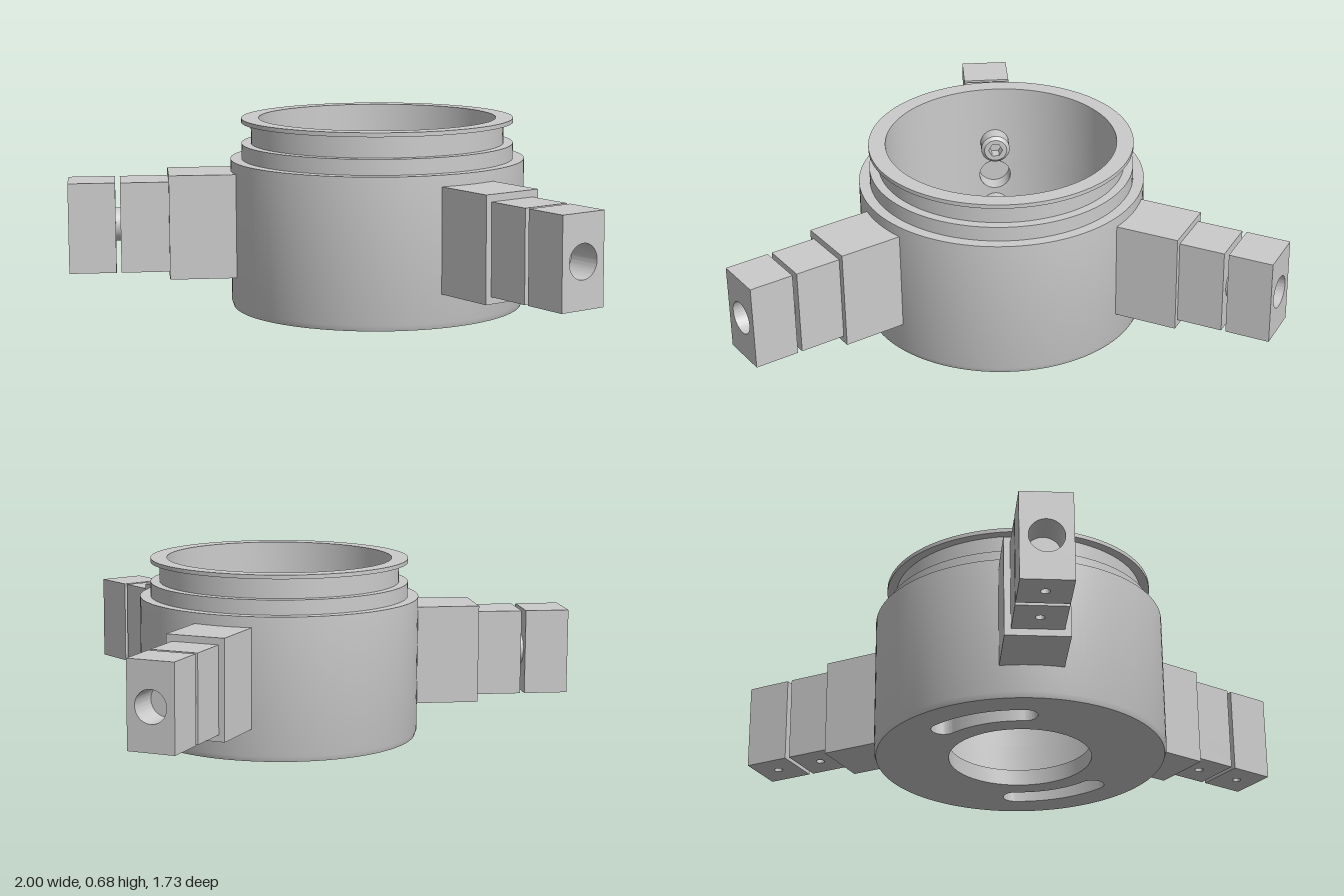
import * as THREE from 'three';
import { toCreasedNormals } from 'three/addons/utils/BufferGeometryUtils.js';

const grey = new THREE.MeshStandardMaterial({ color: 0xcccccc });
const greyOpen = new THREE.MeshStandardMaterial({ color: 0xcccccc, side: THREE.DoubleSide });
const rad = THREE.MathUtils.degToRad;
const ARMS = [60, 180, 300].map(rad);
const BORE = 0.425, AXIS_Y = 0.305, ROD = 0.06;
const BAND = [0.23, 0.38]; // band of the bore wall that holds the radial holes
const HALF = rad(9);

function add(parent, name, geometry, material = grey) {
  const mesh = new THREE.Mesh(geometry, material);
  mesh.name = name;
  parent.add(mesh);
  return mesh;
}

const lathe = (pts, segments, start = 0, length = Math.PI * 2) =>
  toCreasedNormals(new THREE.LatheGeometry(pts.map(p => new THREE.Vector2(...p)), segments, start, length), 0.5);

const extrude = (shape, depth) => toCreasedNormals(
  new THREE.ExtrudeGeometry(shape, { depth, bevelEnabled: false, curveSegments: 32 }), 0.5);

const circle = (r, x = 0, y = 0) => new THREE.Path().absarc(x, y, r, 0, Math.PI * 2, true);

function rect(x0, y0, x1, y1) {
  return new THREE.Shape([[x0, y0], [x1, y0], [x1, y1], [x0, y1]].map(p => new THREE.Vector2(...p)));
}

// curved slot with rounded ends, around the centre
function slot(a0, a1, r = 0.374, h = 0.045) {
  const path = new THREE.Path();
  path.absarc(0, 0, r + h, a0, a1, false);
  path.absarc(r * Math.cos(a1), r * Math.sin(a1), h, a1, a1 + Math.PI, false);
  path.absarc(0, 0, r - h, a1, a0, true);
  path.absarc(r * Math.cos(a0), r * Math.sin(a0), h, a0 + Math.PI, a0 + Math.PI * 2, false);
  return path;
}

// piece of bore wall with a round hole, bent from flat onto the bore
function borePanel() {
  const pts = [], n = 6, w = HALF * BORE;
  for (let i = 0; i <= n; i++) pts.push(new THREE.Vector2(-w + 2 * w * i / n, BAND[0]));
  for (let i = n; i >= 0; i--) pts.push(new THREE.Vector2(-w + 2 * w * i / n, BAND[1]));
  const shape = new THREE.Shape(pts);
  shape.holes.push(circle(ROD, 0, AXIS_Y));
  const geo = new THREE.ShapeGeometry(shape, 32);
  const pos = geo.attributes.position, nor = geo.attributes.normal;
  for (let i = 0; i < pos.count; i++) {
    const a = pos.getX(i) / BORE;
    pos.setXYZ(i, BORE * Math.sin(a), pos.getY(i), BORE * Math.cos(a));
    nor.setXYZ(i, Math.sin(a), 0, Math.cos(a));
  }
  return geo;
}

// clamp block: bored along the arm, with a small screw hole underneath
function clampBlock(parent, name, z0, z1) {
  const block = new THREE.Group();
  block.name = name;
  const upper = rect(-0.09, 0.235, 0.09, 0.465);
  upper.holes.push(circle(ROD, 0, AXIS_Y));
  add(block, name + 'Bored', extrude(upper, z1 - z0).translate(0, 0, z0));
  const lower = rect(-0.09, z0, 0.09, z1);
  lower.holes.push(circle(0.016, 0, (z0 + z1) / 2));
  add(block, name + 'Base', extrude(lower, 0.09).rotateX(Math.PI / 2).translate(0, 0.235, 0));
  parent.add(block);
}

// set screw with a chamfered tip and a hex socket, tip facing the centre
function setScrew(parent, y) {
  const screw = new THREE.Group();
  screw.name = 'setScrew';
  add(screw, 'screwShank', lathe([[0.055, -0.09], [0.055, -0.012], [0.043, 0]], 32).rotateX(-Math.PI / 2));
  const face = new THREE.Shape().absarc(0, 0, 0.043, 0, Math.PI * 2, false);
  const hex = [];
  for (let i = 0; i < 6; i++) {
    hex.push(new THREE.Vector2(0.027 * Math.cos(-i * Math.PI / 3), 0.027 * Math.sin(-i * Math.PI / 3)));
  }
  face.holes.push(new THREE.Path(hex));
  add(screw, 'screwSocket', extrude(face, 0.045));
  add(screw, 'socketFloor', new THREE.CylinderGeometry(0.043, 0.043, 0.01, 32).rotateX(Math.PI / 2).translate(0, 0, 0.05));
  screw.position.set(0, y, 0.356);
  parent.add(screw);
}

function makeArm(angle) {
  const arm = new THREE.Group();
  arm.name = 'arm';
  add(arm, 'armBase', new THREE.BoxGeometry(0.225, 0.37, 0.26).translate(0, AXIS_Y, 0.62));
  clampBlock(arm, 'middleBlock', 0.75, 0.92);
  clampBlock(arm, 'endBlock', 0.937, 1.102);
  add(arm, 'rod', new THREE.CylinderGeometry(0.059, 0.059, 0.23, 32).rotateX(Math.PI / 2).translate(0, AXIS_Y, 0.865));
  // radial hole through the body wall
  add(arm, 'boreWallPanel', borePanel(), greyOpen);
  add(arm, 'radialHole', new THREE.CylinderGeometry(ROD, ROD, 0.066, 32, 1, true).rotateX(Math.PI / 2)
    .translate(0, AXIS_Y, 0.455), greyOpen);
  setScrew(arm, AXIS_Y - 0.14);
  setScrew(arm, AXIS_Y + 0.14);
  arm.rotation.y = angle;
  return arm;
}

export function createModel() {
  const model = new THREE.Group();
  model.name = 'threeArmRing';
  model.position.z = 0.236;

  // stepped outer wall, rim and upper bore
  add(model, 'body', lathe([
    [0.52, 0], [0.527, 0.02], [0.527, 0.53], [0.487, 0.53], [0.487, 0.585], [0.453, 0.585],
    [0.453, 0.66], [0.487, 0.66], [0.487, 0.675], [BORE, 0.675], [BORE, BAND[1]]], 120));
  add(model, 'lowerBore', lathe([[BORE, BAND[0]], [BORE, 0.03]], 120));
  for (const a of ARMS) {
    add(model, 'boreBand', lathe([[BORE, BAND[1]], [BORE, BAND[0]]], 34, a + HALF, rad(102)));
  }

  // floor ring with two curved slots
  const floor = new THREE.Shape().absarc(0, 0, 0.52, 0, Math.PI * 2, false);
  floor.holes.push(circle(0.257), slot(rad(-28), rad(20)), slot(rad(152), rad(200)));
  add(model, 'floor', toCreasedNormals(new THREE.ExtrudeGeometry(floor,
    { depth: 0.06, bevelEnabled: false, curveSegments: 60 }), 0.5).rotateX(Math.PI / 2).translate(0, 0.06, 0));

  for (const a of ARMS) model.add(makeArm(a));

  const root = new THREE.Group();
  root.name = 'model';
  root.add(model);
  return root;
}
